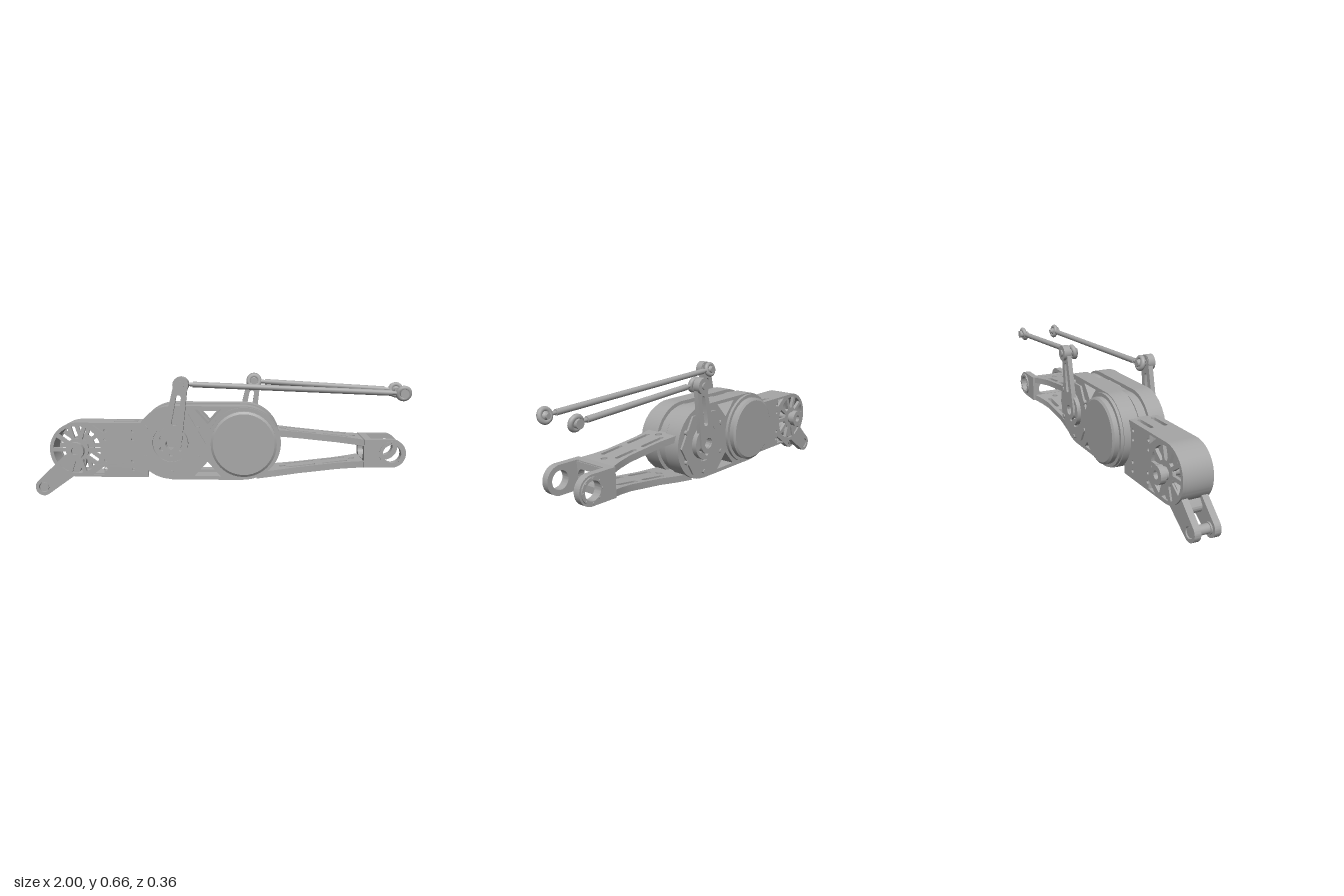
import * as THREE from 'three';
import { toCreasedNormals } from 'three/addons/utils/BufferGeometryUtils.js';

const metal = new THREE.MeshStandardMaterial({ color: 0xa6a6a6 });
metal.name = 'machined grey';

export function createModel() {
  const model = new THREE.Group();
  model.name = 'legLinkage';

  const add = (geo, name) => {
    const m = new THREE.Mesh(geo, metal);
    m.name = name;
    model.add(m);
    return m;
  };
  // Path around two circles (tapered capsule), used for solids and slots
  const capsule = (P, ax, ay, ra, bx, by, rb) => {
    const p = new P(), d = Math.atan2(by - ay, bx - ax);
    const o = Math.acos((ra - rb) / Math.hypot(bx - ax, by - ay));
    p.absarc(ax, ay, ra, d + o, d + 2 * Math.PI - o, false);
    p.absarc(bx, by, rb, d - o, d + o, false);
    p.closePath();
    return p;
  };
  const circle = (P, x, y, r) => new P().absarc(x, y, r, 0, Math.PI * 2, false);
  const poly = (P, pts) => new P(pts.map(p => new THREE.Vector2(...p)));
  const slot = (x0, x1, z, r) => capsule(THREE.Path, x0, z, r, x1, z, r);
  // Plate standing in the xy plane, between two depths
  const ext = (name, shape, za, zb, holes = []) => {
    shape.holes.push(...holes);
    const z0 = Math.min(za, zb);
    const g = new THREE.ExtrudeGeometry(shape, { depth: Math.abs(zb - za), bevelEnabled: false, curveSegments: 24 });
    g.translate(0, 0, z0);
    return add(toCreasedNormals(g, 0.5), name);
  };
  // Plate lying in the xz plane, sheared so it slopes along x
  const planPlate = (name, outline, holes, x0, top, thick, slope = 0) => {
    const s = poly(THREE.Shape, outline);
    s.holes.push(...holes);
    const g = new THREE.ExtrudeGeometry(s, { depth: thick, bevelEnabled: false, curveSegments: 10 });
    g.rotateX(Math.PI / 2);
    const p = g.attributes.position;
    for (let i = 0; i < p.count; i++) p.setY(i, p.getY(i) + top + slope * (p.getX(i) - x0));
    return add(toCreasedNormals(g, 0.5), name);
  };
  // Cylinder along z
  const pin = (name, x, y, za, zb, r, r2 = r) => {
    const g = new THREE.CylinderGeometry(r2, r, Math.abs(zb - za), 40);
    g.rotateX(zb > za ? Math.PI / 2 : -Math.PI / 2);
    g.translate(x, y, (za + zb) / 2);
    return add(g, name);
  };
  const S = THREE.Shape, H = THREE.Path, CY = 0.305, X1 = -0.25, X2 = 0.13;

  // Middle housing: two wide cheeks with a grooved core and drive wheels
  const windows = (t) => [1, -1].map(k => poly(H, [[-0.13, CY + k * t], [0.01, CY + k * t], [-0.06, CY + k * 0.1]]));
  for (const s of [1, -1])
    ext('housingCheek', capsule(S, X1, CY, 0.195, X2, CY, 0.195), s * 0.03, s * 0.117, windows(0.178));
  ext('housingCore', capsule(S, X1, CY, 0.175, X2, CY, 0.175), -0.03, 0.03, windows(0.16));
  for (const x of [X1, X2]) pin('driveWheel', x, CY, -0.018, 0.018, 0.183);
  planPlate('housingFloor', [[X1, -0.117], [X2, -0.117], [X2, 0.117], [X1, 0.117]], [], 0, 0.125, 0.017);

  // Motor, gearbox, crank and push rod on each side
  const side = (s, motorX, crankX) => {
    // Stepped motor can
    pin('motorFlange', motorX, CY, s * 0.117, s * 0.132, 0.19);
    pin('motorRim', motorX, CY, s * 0.132, s * 0.157, 0.172);
    pin('motorCap', motorX, CY, s * 0.157, s * 0.165, 0.172, 0.16);
    // Hexagonal gearbox cover with bolts
    const hex = [];
    for (let i = 0; i < 6; i++) {
      const a = i * Math.PI / 3;
      hex.push([crankX + 0.178 * Math.cos(a), CY + 0.178 * Math.sin(a)]);
    }
    ext('gearboxCover', poly(S, hex), s * 0.117, s * 0.128, [circle(H, crankX, CY, 0.1)]);
    for (let i = 0; i < 6; i++) {
      const a = (i + 0.5) * Math.PI / 3;
      pin('coverBolt', crankX + 0.157 * Math.cos(a), CY + 0.157 * Math.sin(a), s * 0.117, s * 0.133, 0.012);
    }
    const hubHoles = [circle(H, crankX, CY, 0.026)];
    for (let i = 0; i < 6; i++) {
      const a = (i + 0.5) * Math.PI / 3;
      hubHoles.push(circle(H, crankX + 0.055 * Math.cos(a), CY + 0.055 * Math.sin(a), 0.013));
    }
    ext('crankHub', circle(S, crankX, CY, 0.088), s * 0.117, s * 0.145, hubHoles);
    // Crank lever with a long slot
    const px = crankX + 0.053, py = 0.615, at = t => [crankX + 0.053 * t, CY + 0.31 * t];
    ext('crankLever', capsule(S, crankX, CY, 0.055, px, py, 0.036), s * 0.13, s * 0.155,
      [circle(H, crankX, CY, 0.028), capsule(H, ...at(0.36), 0.016, ...at(0.78), 0.013)]);
    pin('leverBoss', px, py, s * 0.132, s * 0.17, 0.041);
    pin('leverPin', px, py, s * 0.08, s * 0.178, 0.018);
    // Push rod with tilted ball joints
    const ex = 0.955, ey = 0.57, z = s * 0.104;
    const dir = Math.atan2(ey - py, ex - px), len = Math.hypot(ex - px, ey - py);
    const rod = new THREE.CylinderGeometry(0.015, 0.015, len - 0.12, 20);
    rod.rotateZ(dir - Math.PI / 2);
    rod.translate((px + ex) / 2, (py + ey) / 2, z);
    add(rod, 'pushRod');
    const neck = new THREE.CylinderGeometry(0.01, 0.01, len - 0.07, 16);
    neck.rotateZ(dir - Math.PI / 2);
    neck.translate((px + ex) / 2, (py + ey) / 2, z);
    add(neck, 'rodThread');
    for (const [x, y] of [[px, py], [ex, ey]]) {
      const ring = add(new THREE.TorusGeometry(0.029, 0.013, 12, 36), 'rodEyeRing');
      ring.position.set(x, y, z);
      ring.rotation.x = s * 0.2;
      add(new THREE.SphereGeometry(0.022, 24, 16).translate(x, y, z), 'jointBall');
    }
    pin('rodEndPin', ex, ey, s * 0.076, s * 0.13, 0.013);
    pin('rodEndNut', ex, ey, s * 0.12, s * 0.134, 0.022);
  };
  side(1, X2, X1);
  side(-1, X1, X2);

  // Shin box: side plates with a spoked round end
  const WX = -0.765, WY = 0.257, R = 0.147;
  for (const s of [1, -1]) {
    const plate = new S();
    plate.absarc(WX, WY, R, Math.PI / 2, Math.PI * 1.5, false);
    plate.lineTo(-0.38, WY - R);
    plate.lineTo(-0.38, WY + R);
    plate.closePath();
    const holes = [];
    for (let i = 0; i < 10; i++) {
      const a = (i + 0.5) * Math.PI / 5, w = new H();
      w.absarc(WX, WY, 0.128, a - 0.23, a + 0.23, false);
      w.absarc(WX, WY, 0.062, a + 0.16, a - 0.16, true);
      w.closePath();
      holes.push(w);
    }
    for (const k of [1, -1]) {
      holes.push(poly(H, [[-0.68, WY + k * 0.135], [-0.62, WY + k * 0.135], [-0.62, WY + k * 0.09]]));
      for (const x of [-0.61, -0.462])
        for (const dy of [0.058, 0.105]) holes.push(circle(H, x, WY + k * dy, 0.009));
    }
    ext('shinSidePlate', plate, s * 0.062, s * 0.08, holes);
    // Axle ends
    pin('axle', WX, WY, s * 0.06, s * 0.105, 0.032);
    ext('axleCap', circle(S, WX, WY, 0.046), s * 0.1, s * 0.13, [circle(H, WX, WY, 0.02)]);
  }
  pin('axleCore', WX, WY, -0.11, 0.11, 0.02);
  const rim = new S();
  rim.absarc(WX, WY, R, Math.PI / 2, Math.PI * 1.5, false);
  rim.absarc(WX, WY, R - 0.016, Math.PI * 1.5, Math.PI / 2, true);
  rim.closePath();
  ext('shinEndRim', rim, -0.062, 0.062);
  for (const top of [WY + R, WY - R + 0.016])
    planPlate('shinCover', [[WX, -0.062], [-0.4, -0.062], [-0.4, 0.062], [WX, 0.062]],
      [slot(-0.56, -0.45, 0.038, 0.011), slot(-0.56, -0.45, -0.038, 0.011)], 0, top, 0.016);

  // Lower fork
  for (const s of [1, -1])
    ext('lowerFork', capsule(S, -0.955, 0.047, 0.046, -0.805, 0.172, 0.06), s * 0.036, s * 0.07,
      [circle(H, -0.955, 0.047, 0.028)]);
  ext('lowerForkWeb', capsule(S, -0.868, 0.12, 0.03, -0.805, 0.172, 0.05), -0.036, 0.036);
  pin('lowerForkPin', -0.955, 0.047, -0.065, 0.065, 0.024);
  for (const s of [1, -1]) pin('lowerForkCollar', -0.955, 0.047, s * 0.028, s * 0.037, 0.029);

  // Thigh arm: slotted top and bottom plates with a narrow waist
  const half = [[0.2, 0.1], [0.3, 0.095], [0.42, 0.08], [0.62, 0.08], [0.7, 0.095], [0.8, 0.125]];
  const outline = [...half, ...half.slice().reverse().map(([x, z]) => [x, -z])];
  const armHoles = () => {
    const h = [circle(H, 0.34, 0, 0.018), circle(H, 0.71, 0, 0.016)];
    for (const z of [0.048, -0.048]) h.push(slot(0.37, 0.5, z, 0.011), slot(0.56, 0.67, z, 0.011));
    return h;
  };
  planPlate('armTopPlate', outline, armHoles(), 0.31, 0.373, 0.034, -0.1);
  planPlate('armBottomPlate', outline, armHoles(), 0.31, 0.16, 0.034, 0.122);

  // Arm end: windowed cross wall and two bearing eyes
  const wall = poly(S, [[-0.125, 0.182], [0.125, 0.182], [0.125, 0.33], [-0.125, 0.33]]);
  const wallMesh = ext('armCrossWall', wall, 0, 0.04, [capsule(H, -0.052, 0.253, 0.037, 0.052, 0.253, 0.037)]);
  wallMesh.rotation.y = Math.PI / 2;
  wallMesh.position.x = 0.757;
  for (const s of [1, -1]) {
    const eye = new S();
    eye.moveTo(0.757, 0.33);
    eye.lineTo(0.757, 0.182);
    eye.absarc(0.9, WY, 0.074, -Math.PI / 2, Math.PI / 2, false);
    eye.closePath();
    ext('armEye', eye, s * 0.09, s * 0.126, [circle(H, 0.9, WY, 0.047)]);
    ext('eyeBearing', circle(S, 0.9, WY, 0.064), s * 0.124, s * 0.133, [circle(H, 0.9, WY, 0.047)]);
    for (let i = 0; i < 8; i++) {
      const a = i * Math.PI / 4;
      pin('eyeBolt', 0.9 + 0.056 * Math.cos(a), WY + 0.056 * Math.sin(a), s * 0.13, s * 0.137, 0.006);
    }
  }
  return model;
}
